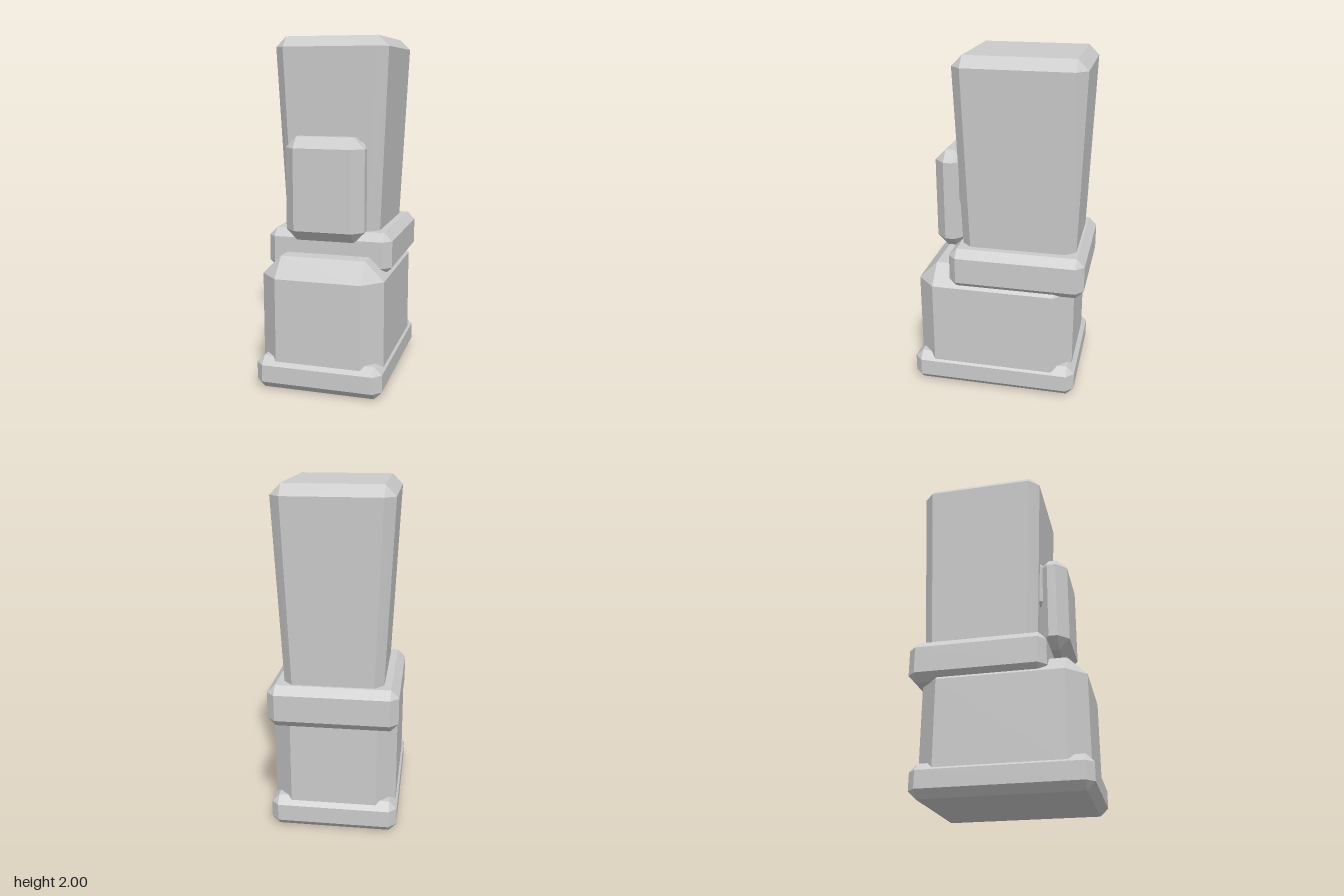
import * as THREE from 'three';
import { ConvexGeometry } from 'three/addons/geometries/ConvexGeometry.js';

const material = new THREE.MeshStandardMaterial({ color: 0xcccccc, flatShading: true });

// Box between two corners with every edge and corner cut flat by `cut`;
// `shape` may move each point afterwards.
function chamferedBox(name, min, max, cut, shape = (p) => p) {
  const lo = new THREE.Vector3(...min), hi = new THREE.Vector3(...max);
  const centre = lo.clone().add(hi).multiplyScalar(0.5);
  const half = hi.clone().sub(lo).multiplyScalar(0.5);
  const points = [];
  for (const sx of [-1, 1]) for (const sy of [-1, 1]) for (const sz of [-1, 1]) {
    for (const axis of ['x', 'y', 'z']) {
      // full reach along one axis, inset along the other two
      const p = half.clone().subScalar(cut);
      p[axis] += cut;
      points.push(shape(p.multiply(new THREE.Vector3(sx, sy, sz)).add(centre), centre));
    }
  }
  const mesh = new THREE.Mesh(new ConvexGeometry(points), material);
  mesh.name = name;
  return mesh;
}

// Narrows the upper column towards its foot
function taper(p, centre) {
  const drop = Math.max(0, 1.94 - p.y) / 1.04;
  p.x *= 1 - 0.145 * drop;
  p.z = centre.z + (p.z - centre.z) * (1 - 0.093 * drop);
  return p;
}

export function createModel() {
  const model = new THREE.Group();
  model.name = 'steppedColumn';
  model.add(
    // foot plate and lower block
    chamferedBox('base', [-0.37, 0, -0.475], [0.37, 0.19, 0.512], 0.045),
    chamferedBox('lowerBody', [-0.358, 0.03, -0.45], [0.358, 0.765, 0.49], 0.11),
    // collar set back over the lower block
    chamferedBox('collar', [-0.37, 0.655, -0.512], [0.37, 0.9, 0.28], 0.046),
    // flared upper column
    chamferedBox('upperColumn', [-0.33, 0.8, -0.486], [0.33, 2, 0.251], 0.06, taper),
    // front panel and the thin plate joining it to the column
    chamferedBox('frontPanel', [-0.23, 0.853, 0.215], [0.23, 1.445, 0.39], 0.062),
    chamferedBox('panelMount', [-0.213, 1.13, 0.17], [0.213, 1.42, 0.255], 0.025),
  );
  return model;
}
